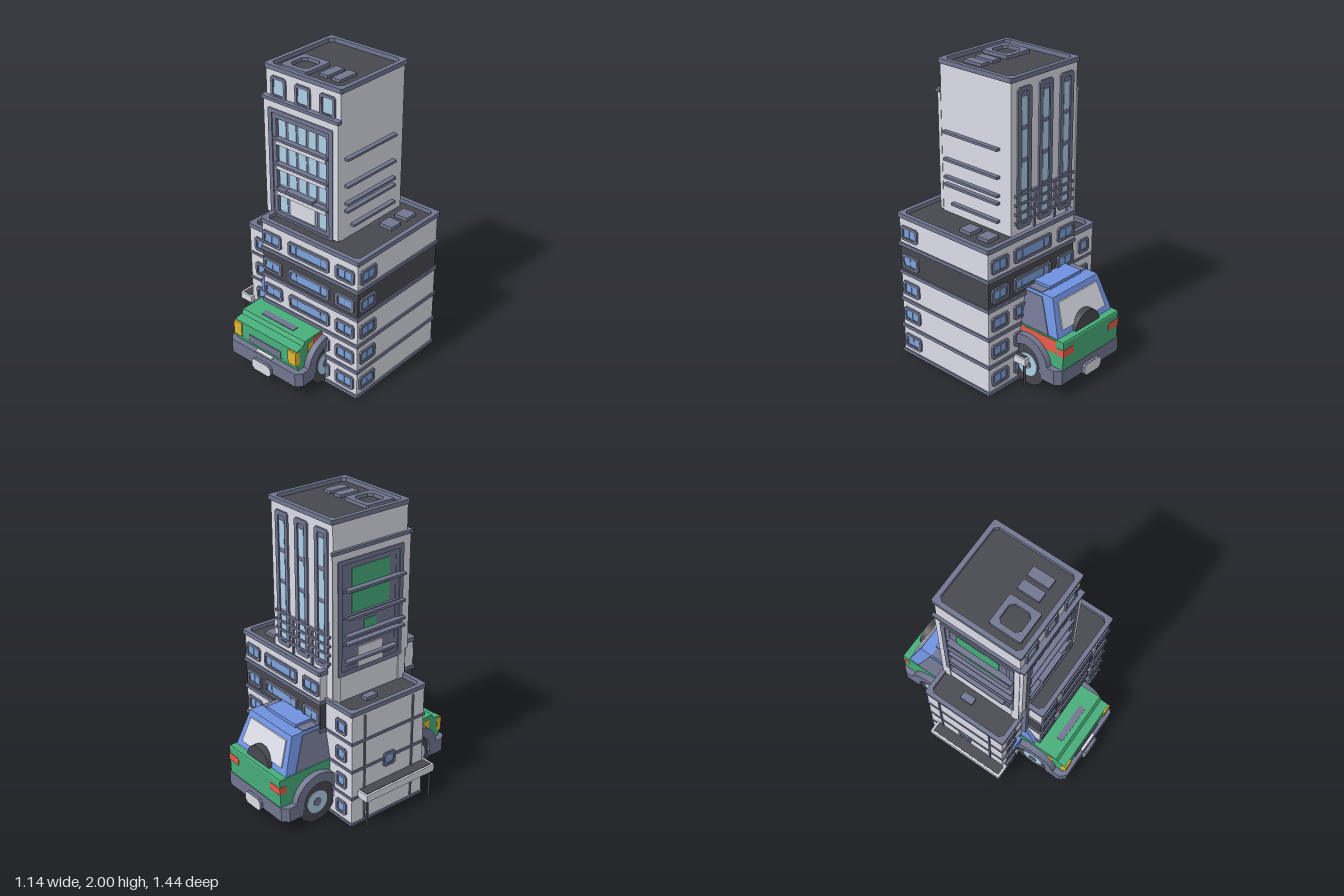
import * as THREE from 'three';

const mat = (name, color) => new THREE.MeshStandardMaterial({ name, color });
const M = {
  wall: mat('pale wall', 0xdcdce7), trim: mat('slate trim', 0x717690), dark: mat('charcoal', 0x47474f),
  pane: mat('blue glass', 0x7ca4dd), sky: mat('light glass', 0xb0d4ec), blue: mat('cabin blue', 0x6f92e0),
  green: mat('body green', 0x46ad7a), yellow: mat('lamp yellow', 0xe0b632), red: mat('lamp red', 0xe65d49),
};

export function createModel() {
  const root = new THREE.Group();
  const add = (name, geo, m, parent = root) => {
    const mesh = new THREE.Mesh(geo, m);
    mesh.name = name;
    parent.add(mesh);
    return mesh;
  };
  // box given by its lower and upper limits on each axis
  const box = (name, m, x0, x1, y0, y1, z0, z1, parent = root) => add(name,
    new THREE.BoxGeometry(x1 - x0, y1 - y0, z1 - z0).translate((x0 + x1) / 2, (y0 + y1) / 2, (z0 + z1) / 2), m, parent);
  // rectangle with cut corners
  const cutRect = (w, h, c, P = THREE.Shape) => {
    const a = w / 2, b = h / 2;
    return new P([[-a + c, -b], [a - c, -b], [a, -b + c], [a, b - c], [a - c, b], [-a + c, b], [-a, b - c], [-a, -b + c]]
      .map(p => new THREE.Vector2(...p)));
  };
  const extrude = (s, depth) => new THREE.ExtrudeGeometry(s, { depth, bevelEnabled: false, curveSegments: 14 });
  const frameGeo = (w, h, t, depth, c = 0.013, hc = c * 0.6) => {
    const s = cutRect(w, h, c);
    s.holes.push(cutRect(w - 2 * t, h - 2 * t, hc, THREE.Path));
    return extrude(s, depth);
  };
  // group whose +z points out of one face of a block
  const onFace = (name, face, u, y, d) => {
    const g = new THREE.Group();
    g.name = name;
    const [x, z, r] = { front: [u, d, 0], back: [u, -d, Math.PI], right: [d, u, Math.PI / 2], left: [-d, u, -Math.PI / 2] }[face];
    g.position.set(x, y, z);
    g.rotation.y = r;
    root.add(g);
    return g;
  };
  // framed window; splits are pane limits as fractions of the opening
  const windowAt = (face, u, y, d, w, h, splits, glass = M.pane) => {
    const g = onFace('window', face, u, y, d), iw = w - 0.046, ih = h - 0.046;
    add('windowFrame', frameGeo(w, h, 0.017, 0.012), M.trim, g);
    add('innerFrame', frameGeo(w - 0.03, h - 0.03, 0.008, 0.007, 0.008), M.trim, g);
    box('windowBacking', M.trim, -w / 2 + 0.012, w / 2 - 0.012, -h / 2 + 0.012, h / 2 - 0.012, 0, 0.002, g);
    for (const [a, b] of splits)
      box('pane', glass, (a - 0.5) * iw, (b - 0.5) * iw, -ih / 2, ih / 2, 0, 0.005, g);
  };
  const PAIR = [[0, 0.47], [0.53, 1]], WIDE = [[0, 0.14], [0.18, 0.82], [0.86, 1]], ONE = [[0, 1]];
  // horizontal ring round a roof
  const roofRing = (name, x0, x1, z0, z1, y, h, t) => add(name, frameGeo(x1 - x0, z1 - z0, t, h, 0.008, 0.025)
    .rotateX(-Math.PI / 2).translate((x0 + x1) / 2, y, (z0 + z1) / 2), M.trim);
  const roof = (x0, x1, z0, z1, top) => {
    box('roofDeck', M.dark, x0 + 0.01, x1 - 0.01, top - 0.035, top - 0.028, z0 + 0.01, z1 - 0.01);
    roofRing('parapet', x0, x1, z0, z1, top - 0.03, 0.03, 0.03);
  };

  // main block: five storeys, the fourth one dark
  for (let i = 0; i < 5; i++) {
    const y = i * 0.2, cy = [0.1, 0.3, 0.495, 0.69, 0.89][i];
    box('storey', i === 3 ? M.dark : M.wall, -0.23, 0.558, y + 0.005, y + (i === 4 ? 0.185 : 0.2), -0.345, 0.433);
    box('floorBand', M.trim, -0.24, 0.567, y - (i ? 0.01 : 0), y + (i ? 0.013 : 0.022), -0.355, 0.443);
    for (const [face, d] of [['front', 0.433], ['back', 0.345]]) {
      windowAt(face, -0.145, cy, d, 0.16, 0.1, PAIR);
      windowAt(face, 0.165, cy, d, 0.34, 0.1, WIDE);
      windowAt(face, 0.46, cy, d, 0.15, 0.1, PAIR);
    }
    windowAt('right', 0.34, cy, 0.558, 0.15, 0.1, PAIR);
  }
  roof(-0.24, 0.57, -0.358, 0.443, 1.02);
  for (const z of [-0.25, -0.1]) box('roofVent', M.trim, 0.363, 0.458, 0.99, 1.015, z, z + 0.095);
  box('cornerPipe', M.trim, -0.262, -0.23, 0.5, 1.0, 0.3, 0.335);

  // low side wing
  box('wing', M.wall, -0.483, -0.22, 0.005, 0.79, -0.3, 0.3);
  for (const y of [0, 0.193, 0.393, 0.593])
    box('wingBand', M.trim, -0.49, -0.22, y, y + 0.018, -0.307, 0.307);
  roof(-0.49, -0.22, -0.31, 0.31, 0.825);
  box('wingVent', M.trim, -0.385, -0.335, 0.79, 0.82, -0.1, -0.01);
  for (const y of [0.1, 0.3, 0.495, 0.69])
    for (const face of ['front', 'back']) windowAt(face, -0.385, y, 0.3, 0.1, 0.1, ONE);
  windowAt('left', 0, 0.395, 0.49, 0.1, 0.1, ONE);
  for (const z of [-0.2, 0.2]) box('wingPilaster', M.trim, -0.492, -0.48, 0.02, 0.78, z - 0.006, z + 0.006);

  // tower
  box('tower', M.wall, -0.29, 0.3, 0.3, 1.97, -0.29, 0.295);
  roof(-0.3, 0.315, -0.305, 0.305, 2.0);
  roofRing('skylightRim', -0.22, -0.01, 0.03, 0.245, 1.965, 0.03, 0.035);
  for (const x of [0.04, 0.137]) box('towerVent', M.trim, x, x + 0.067, 1.965, 1.99, 0.04, 0.19);

  // framed facades on the front and left of the tower
  for (const face of ['front', 'left']) {
    const front = face === 'front';
    const g = onFace(face + 'Facade', face, front ? 0.004 : 0, 0, front ? 0.295 : 0.29);
    const dp = front ? 0.032 : 0.014, low = front ? 1.0 : 0.8;
    for (const s of [-1, 1])
      box('facadePier', M.wall, Math.min(s * 0.24, s * 0.298), Math.max(s * 0.24, s * 0.298), low, 1.785, 0, dp - 0.006, g);
    box('facadeHead', M.wall, -0.298, 0.298, 1.72, 1.785, 0, dp - 0.006, g);
    box('facadeCap', M.trim, -0.307, 0.307, 1.782, 1.803, 0, dp + 0.005, g);
    add('outerFrame', frameGeo(0.52, 0.76, 0.03, dp, 0.006).translate(0, 1.355, 0), M.trim, g);
    add('innerFrame', frameGeo(0.47, 0.71, 0.033, dp - 0.008, 0.006).translate(0, 1.35, 0), M.trim, g);
    box('facadeRecess', M.trim, -0.21, 0.21, 1.0, 1.69, 0, 0.003, g);
    if (front) {
      for (const [y0, y1] of [[1.02, 1.17], [1.22, 1.34], [1.38, 1.51], [1.55, 1.67]])
        for (let i = 0; i < 5; i++) {
          const x = -0.164 + i * 0.082;
          box('tallPane', M.sky, x - 0.029, x + 0.029, y0, y1, 0, 0.007, g);
        }
      box('doorHood', M.trim, -0.11, 0.11, 1.2, 1.215, 0, 0.05, g);
    } else {
      for (const [w, y0, y1] of [[0.15, 1.55, 1.67], [0.15, 1.38, 1.51], [0.05, 1.24, 1.31]])
        box('greenPanel', M.green, -w, w, y0, y1, 0, 0.007, g);
    }
    for (const y of [1.16, 1.34, 1.51]) {
      if (front) box('ledge', M.wall, -0.2, 0.2, y - 0.012, y + 0.012, 0, dp - 0.004, g);
      box('ledgeRail', M.trim, -0.225, 0.225, y + 0.02, y + 0.035, 0, dp + 0.006, g);
    }
    box('door', M.wall, -0.1, 0.1, 1.0, 1.14, 0, 0.012, g);
  }
  for (const x of [-0.185, 0.01, 0.205]) windowAt('front', x, 1.865, 0.295, 0.12, 0.14, ONE, M.sky);

  // rails along both sides of the tower
  for (const y of [1.54, 1.36, 1.24, 1.19, 1.07]) {
    const z1 = y === 1.07 ? 0.2 : 0.26;
    box('rightRail', M.trim, 0.29, 0.33, y - 0.008, y + 0.008, -0.2, z1);
    box('leftRail', M.trim, -0.332, -0.29, y - 0.008, y + 0.008, -0.2, z1);
  }

  // tall window strips and rails on the back of the tower
  for (const x of [-0.19, 0, 0.19]) {
    const g = onFace('backStrip', 'back', x, 1.475, 0.29);
    add('stripFrame', frameGeo(0.12, 0.9, 0.028, 0.012), M.trim, g);
    box('stripBacking', M.trim, -0.035, 0.035, -0.43, 0.43, 0, 0.003, g);
    for (let i = 0; i < 4; i++) box('stripPane', M.sky, -0.024, 0.024, -0.4 + i * 0.205, -0.225 + i * 0.205, 0, 0.007, g);
  }
  for (const y of [1.07, 1.13, 1.19, 1.25]) box('backRail', M.trim, -0.27, 0.27, y - 0.008, y + 0.008, -0.306, -0.29);
  for (const x of [-0.095, 0.095]) box('railPost', M.trim, x - 0.007, x + 0.007, 1.0, 1.25, -0.304, -0.29);

  // canopies on thin posts
  const canopy = (x0, x1, z0, z1, y0, y1, posts) => {
    box('canopy', M.wall, x0, x1, y0, y1, z0, z1);
    box('canopyDeck', M.dark, x0 + 0.014, x1 - 0.014, y1 - 0.002, y1 + 0.003, z0 + 0.014, z1 - 0.014);
    for (const [x, z] of posts) add('canopyPost', new THREE.CylinderGeometry(0.008, 0.008, y0, 8).translate(x, y0 / 2, z), M.dark);
  };
  canopy(-0.57, -0.47, -0.25, 0.33, 0.2, 0.25, [[-0.55, -0.23], [-0.55, 0.31]]);
  canopy(0.2, 0.337, -0.445, -0.34, 0.15, 0.2, [[0.32, -0.425]]);

  // car parts: side profiles (z, y) extruded across x, narrowing above the waist
  const profile = (pts, w, taper = 0) => {
    const geo = extrude(new THREE.Shape(pts.map(p => new THREE.Vector2(...p))), w).rotateY(-Math.PI / 2).translate(w / 2, 0, 0);
    const p = geo.attributes.position;
    for (let i = 0; i < p.count; i++) p.setX(i, p.getX(i) * (1 - taper * Math.max(0, p.getY(i) - 0.4)));
    geo.computeVertexNormals();
    return geo;
  };
  add('hood', profile([[0.3, 0.2], [0.66, 0.2], [0.675, 0.25], [0.67, 0.35], [0.61, 0.36], [0.595, 0.388], [0.3, 0.392]], 0.54), M.green);
  box('hoodScoop', M.trim, -0.14, 0.14, 0.385, 0.394, 0.515, 0.56);
  box('grille', M.trim, -0.14, 0.14, 0.235, 0.29, 0.66, 0.679);
  add('rearBody', profile([[-0.3, 0.2], [-0.3, 0.4], [-0.695, 0.4], [-0.7, 0.39], [-0.695, 0.2]], 0.54), M.green);
  add('cabin', profile([[-0.3, 0.39], [-0.3, 0.64], [-0.56, 0.64], [-0.65, 0.39]], 0.53, 0.75), M.blue);
  add('sideGlass', profile([[-0.3, 0.405], [-0.3, 0.62], [-0.48, 0.62], [-0.57, 0.405]], 0.538, 0.75), M.trim);
  add('rearGlass', profile([[-0.641, 0.44], [-0.582, 0.603], [-0.573, 0.603], [-0.632, 0.44]], 0.43, 0.7), M.wall);
  box('roofPlate', M.trim, -0.213, 0.213, 0.636, 0.644, -0.47, -0.3);
  box('roofPanel', M.blue, -0.15, 0.15, 0.635, 0.662, -0.48, -0.33);
  add('windscreenPillar', profile([[0.42, 0.38], [0.3, 0.38], [0.3, 0.57]], 0.53, 0.4), M.blue);
  box('mirror', M.blue, -0.37, -0.29, 0.35, 0.44, 0.295, 0.325);
  add('spareTyre', new THREE.CylinderGeometry(0.118, 0.118, 0.07, 28).rotateX(Math.PI / 2).translate(0, 0.385, -0.632), M.dark);
  for (const s of [-1, 1]) {
    box('headlamp', M.yellow, s * 0.238 - 0.034, s * 0.238 + 0.034, 0.245, 0.345, 0.645, 0.682);
    box('sideLamp', M.yellow, s * 0.27 - 0.002, s * 0.27 + 0.002, 0.28, 0.36, 0.52, 0.57);
    box('tailLamp', M.red, s * 0.222 - 0.05, s * 0.222 + 0.05, 0.295, 0.345, -0.702, -0.65);
  }
  box('sideStripeFront', M.red, 0.266, 0.272, 0.33, 0.375, 0.43, 0.52);
  box('sideStripeRear', M.red, 0.266, 0.272, 0.3, 0.39, -0.64, -0.34);

  // chassis, bumpers, fenders and wheels, mirrored front to back
  for (const e of [1, -1]) {
    box('chassis', M.trim, -0.25, 0.25, 0.12, 0.22, Math.min(e * 0.3, e * 0.66), Math.max(e * 0.3, e * 0.66));
    const outline = [[-0.313, 0.55], [0.313, 0.55], [0.313, 0.66], [0.278, 0.7], [-0.278, 0.7], [-0.313, 0.66]];
    const bumper = new THREE.Shape(outline.map(([x, z]) => new THREE.Vector2(x, -e * z)));
    add('bumper', extrude(bumper, 0.1).rotateX(-Math.PI / 2).translate(0, 0.1, 0), M.trim);
    const plate = onFace('bumperPlate', e > 0 ? 'front' : 'back', 0, 0.12, 0.69);
    add('plateBlock', extrude(cutRect(0.164, 0.084, 0.02), 0.028), M.trim, plate);
    add('plateFace', extrude(cutRect(0.16, 0.08, 0.02), 0.004), M.wall, plate).position.z = 0.027;
    box('bumperBadge', M.wall, -0.07, 0.07, 0.08, 0.09, -0.02, 0.005, plate);
    for (const x of [-0.2, -0.07, 0.07, 0.2])
      box('bumperFoot', M.trim, x - 0.015, x + 0.015, 0.075, 0.1, e * 0.65 - 0.03, e * 0.65 + 0.03);
    for (const s of [-1, 1]) {
      const arch = new THREE.Shape();
      arch.absarc(0, 0, 0.188, -0.25, Math.PI + 0.25, false);
      arch.absarc(0, 0, 0.12, Math.PI + 0.25, -0.25, true);
      add('fender', extrude(arch, 0.065).rotateY(-Math.PI / 2).translate(s * 0.281 + 0.0325, 0.17, e * 0.42), M.trim);
      const wheel = (name, r, w, m) => add(name, new THREE.CylinderGeometry(r, r, w, 28).rotateZ(Math.PI / 2).translate(s * 0.21, 0.146, e * 0.43), m);
      wheel('tyre', 0.145, 0.17, M.dark);
      wheel('wheelRim', 0.08, 0.18, M.sky);
      wheel('wheelHub', 0.03, 0.19, M.trim);
    }
  }
  return root;
}
